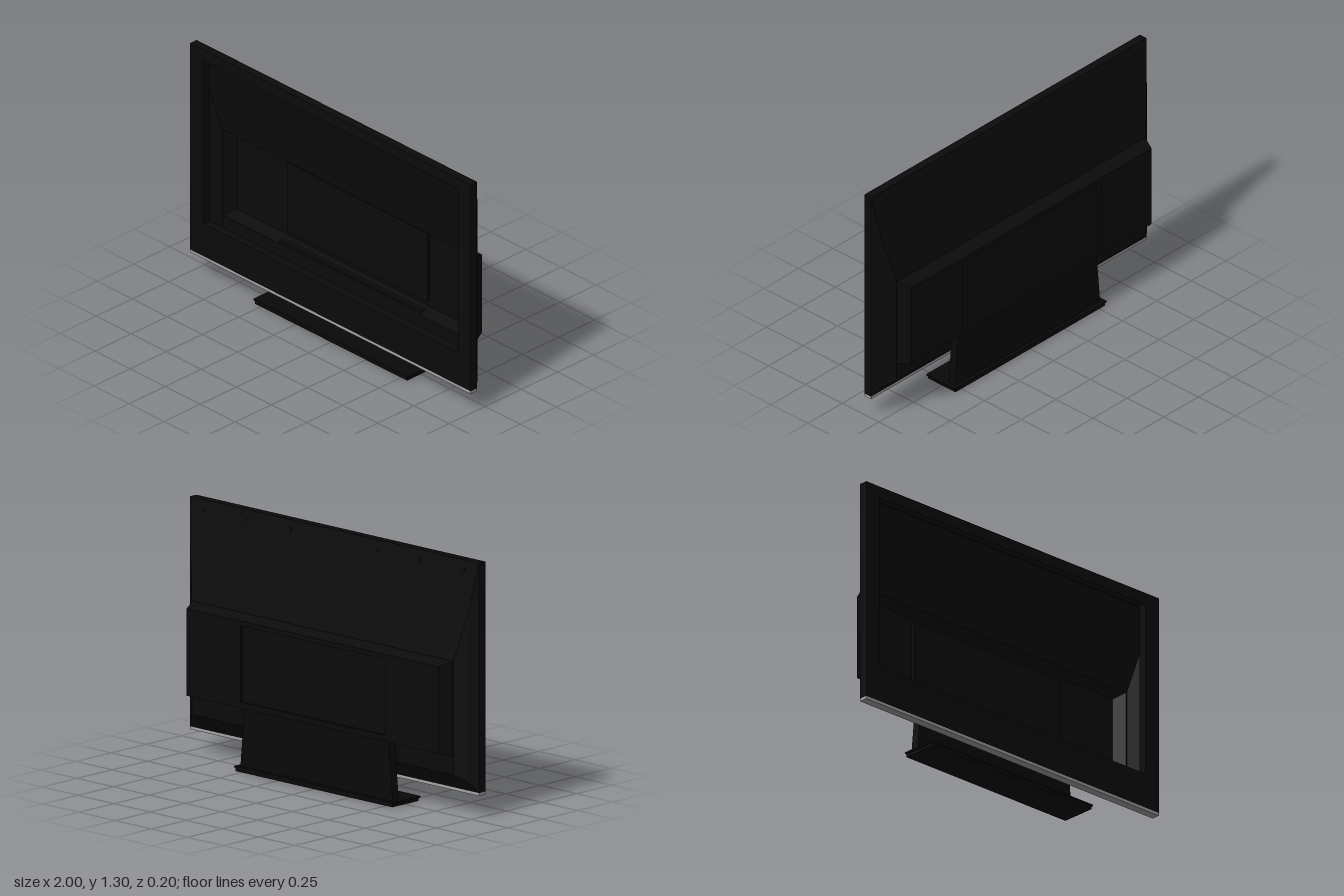
import * as THREE from 'three';

export function createModel() {
  const group = new THREE.Group();
  const black = new THREE.MeshStandardMaterial({ name: 'black plastic', color: 0x0b0b0b, side: THREE.DoubleSide, flatShading: true });
  const standBlack = new THREE.MeshStandardMaterial({ name: 'stand black', color: 0x090909, flatShading: true });
  const silver = new THREE.MeshStandardMaterial({ name: 'silver trim', color: 0xa2a4a2 });

  const add = (name, geometry, material, x = 0, y = 0, z = 0) => {
    const mesh = new THREE.Mesh(geometry, material);
    mesh.name = name;
    mesh.position.set(x, y, z);
    group.add(mesh);
    return mesh;
  };

  // Flat-sided skin through rectangular rings [halfWidth, bottom, top, z], closed at the last ring
  const ringSkin = (rings) => {
    const corners = rings.map(([h, b, t, z]) => [[-h, b, z], [h, b, z], [h, t, z], [-h, t, z]]);
    const points = [];
    for (let r = 0; r < corners.length - 1; r++) {
      const a = corners[r], c = corners[r + 1];
      for (let i = 0; i < 4; i++) {
        const j = (i + 1) % 4;
        points.push(...a[i], ...c[i], ...c[j], ...a[i], ...c[j], ...a[j]);
      }
    }
    const e = corners[corners.length - 1];
    points.push(...e[0], ...e[3], ...e[2], ...e[0], ...e[2], ...e[1]);
    const geometry = new THREE.BufferGeometry();
    geometry.setAttribute('position', new THREE.Float32BufferAttribute(points, 3));
    geometry.computeVertexNormals();
    return geometry;
  };

  const rectangle = (Type, h, b, t) => {
    const path = new Type();
    path.moveTo(-h, b);
    path.lineTo(h, b);
    path.lineTo(h, t);
    path.lineTo(-h, t);
    path.closePath();
    return path;
  };

  // Front bezel with the screen opening
  const frame = rectangle(THREE.Shape, 1, 0.125, 1.3);
  frame.holes.push(rectangle(THREE.Path, 0.91, 0.31, 1.24));
  add('bezel', new THREE.ExtrudeGeometry(frame, { depth: 0.045, bevelEnabled: false }), black, 0, 0, 0.055);

  // Hollow rear housing: sloped shell, bulge and recessed panel
  add('rearHousing', ringSkin([
    [1, 0.125, 1.3, 0.055],
    [0.965, 0.178, 1.06, 0.02],
    [0.905, 0.215, 0.8, -0.03],
    [0.9, 0.31, 0.797, -0.03],
    [0.873, 0.33, 0.775, -0.1],
    [0.5, 0.36, 0.75, -0.1],
    [0.5, 0.36, 0.75, -0.085],
  ]), black);

  // Screw caps along the top of the housing
  for (const side of [-1, 1]) {
    for (const x of [0.3, 0.6, 0.9]) {
      const cap = add('screwCap', new THREE.CylinderGeometry(0.01, 0.01, 0.004, 10), standBlack, side * x, 1.25, 0.047);
      cap.rotation.x = -Math.PI / 2 + 0.145;
    }
  }

  // Silver strip under the bezel
  add('bottomTrim', new THREE.BoxGeometry(2, 0.015, 0.045), silver, 0, 0.1175, 0.0775);

  // Stand neck, slightly wider at the foot
  const neck = new THREE.BoxGeometry(1, 0.3, 0.043);
  const p = neck.attributes.position;
  for (let i = 0; i < p.count; i++) p.setX(i, Math.sign(p.getX(i)) * (p.getY(i) < 0 ? 0.527 : 0.5));
  add('standNeck', neck, standBlack, 0, 0.175, -0.0515);

  // Stand base: a plate over a slightly smaller foot
  add('standBase', new THREE.BoxGeometry(1.1, 0.009, 0.195), standBlack, 0, 0.0215, 0.0025);
  add('standFoot', new THREE.BoxGeometry(1.085, 0.017, 0.188), standBlack, 0, 0.0085, 0.0025);

  return group;
}
